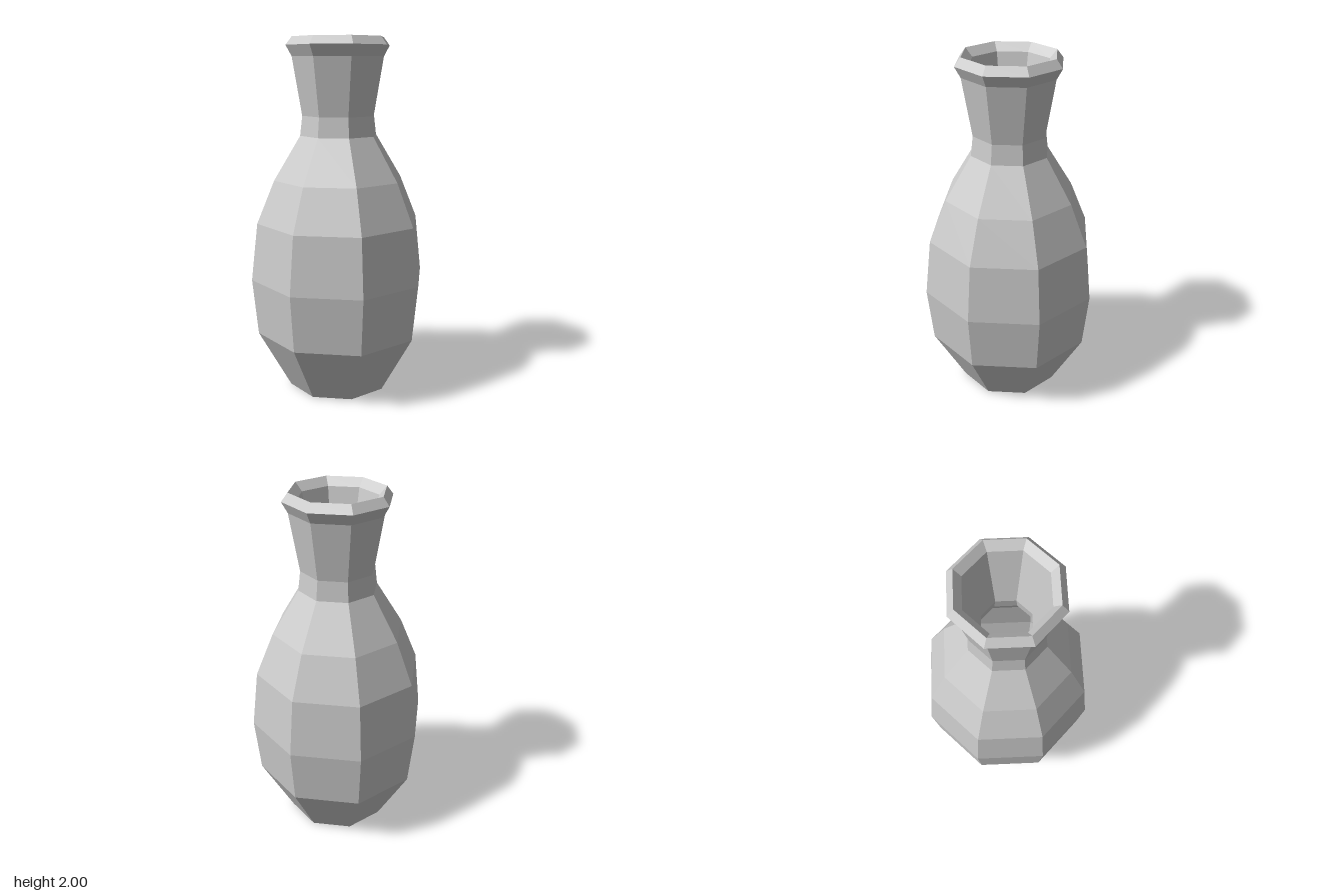
import * as THREE from 'three';

const SIDES = 8;

export function createModel() {
  const group = new THREE.Group();
  group.name = 'vase';
  const material = new THREE.MeshStandardMaterial({ color: 0xcccccc, flatShading: true });

  // Turns a [radius, height] profile around y; corners lie on the x and z axes
  function turned(name, profile) {
    const points = profile.map(([r, y]) => new THREE.Vector2(r, y));
    const mesh = new THREE.Mesh(new THREE.LatheGeometry(points, SIDES), material);
    mesh.name = name;
    group.add(mesh);
  }

  // Base disc, belly, shoulder and neck
  turned('outerBody', [
    [0, 0], [0.29, 0], [0.475, 0.335], [0.507, 0.655], [0.47, 0.98],
    [0.37, 1.22], [0.22, 1.465], [0.207, 1.575], [0.262, 1.895],
  ]);

  // Flared lip with a peaked rim
  turned('lip', [[0.262, 1.895], [0.295, 1.955], [0.26, 2], [0.22, 1.955]]);

  // Hollow inside, from the lip down to the floor
  turned('innerWall', [
    [0.22, 1.955], [0.14, 1.575], [0.155, 1.485], [0.305, 1.2], [0.405, 0.96],
    [0.44, 0.655], [0.41, 0.355], [0.25, 0.065], [0, 0.065],
  ]);

  return group;
}
